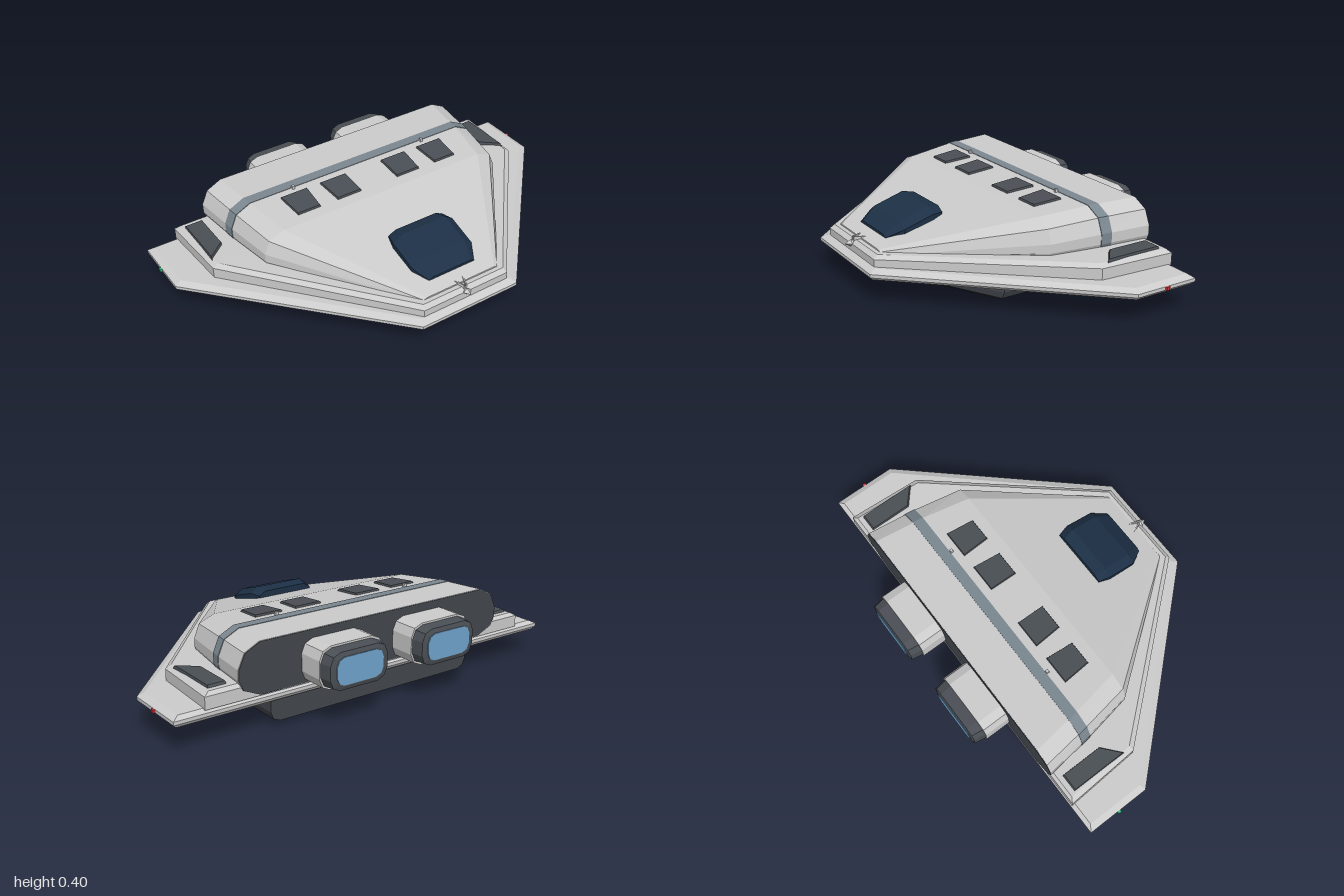
import * as THREE from 'three';

const GREY = 0xcccccc, DARK = 0x4a4f55, TUB = 0x42464c, NAVY = 0x1d3046, BLUE = 0x6fa3cb;

// Skin between rings of 3D points; the first ring runs counter-clockwise seen from outside.
function loft(rings) {
  const n = rings[0].length, index = [];
  for (let r = 0; r < rings.length - 1; r++) {
    for (let i = 0; i < n; i++) {
      const j = (i + 1) % n, a = r * n, b = a + n;
      index.push(a + i, b + i, b + j, a + i, b + j, a + j);
    }
  }
  const last = (rings.length - 1) * n;
  for (let i = 1; i < n - 1; i++) {
    index.push(0, i, i + 1, last, last + i + 1, last + i);
  }
  const geo = new THREE.BufferGeometry();
  geo.setAttribute('position', new THREE.Float32BufferAttribute(rings.flat(2), 3));
  geo.setIndex(index);
  const flat = geo.toNonIndexed();
  flat.computeVertexNormals();
  return flat;
}

const mirrored = half => [...half, ...half.map(([x, y, z]) => [-x, y, z]).reverse()];
// Upright section at z from right-hand [x, y] points, listed bottom to top
const section = (z, half) => mirrored(half.map(([x, y]) => [x, y, z]));
// Level outline at y from right-hand [x, z] points, listed front to back
const outline = (y, half) => mirrored(half.map(([x, z]) => [x, y, z]));
// Right half of a rectangle with cut corners
const rounded = (w, y0, y1, c) => [[w - c, y0], [w - c * 0.3, y0 + c * 0.3], [w, y0 + c],
  [w, y1 - c], [w - c * 0.3, y1 - c * 0.3], [w - c, y1]];

// Hull stations, front to back
const STATIONS = [
  [0.57, [[0.17, 0.165], [0.19, 0.18], [0.2, 0.19], [0.2, 0.2], [0.195, 0.215], [0.18, 0.222]]],
  [0, [[0.54, 0.165], [0.61, 0.19], [0.63, 0.235], [0.63, 0.275], [0.605, 0.335], [0.53, 0.365]]],
  [-0.23, [[0.575, 0.165], [0.65, 0.195], [0.67, 0.24], [0.67, 0.285], [0.642, 0.35], [0.57, 0.385]]],
  [-0.466, [[0.6, 0.165], [0.68, 0.2], [0.7, 0.245], [0.7, 0.29], [0.67, 0.355], [0.6, 0.39]]],
];

// Hull half-section at any z, grown outwards by g
function hullAt(z, g = 0) {
  let k = 0;
  while (k < STATIONS.length - 2 && z < STATIONS[k + 1][0]) k++;
  const [z0, a] = STATIONS[k], [z1, b] = STATIONS[k + 1], t = (z - z0) / (z1 - z0);
  return a.map(([x, y], i) => [x + (b[i][0] - x) * t + g, y + (b[i][1] - y) * t + (i > 2 ? g : 0)]);
}
const roofY = z => hullAt(z)[5][1];

export function createModel() {
  const model = new THREE.Group();
  const materials = {};
  const add = (name, geo, color = GREY, parent = model) => {
    materials[color] ??= new THREE.MeshStandardMaterial({ color, flatShading: true });
    const mesh = new THREE.Mesh(geo, materials[color]);
    mesh.name = name;
    parent.add(mesh);
    return mesh;
  };
  const box = (name, size, pos, color, parent) =>
    add(name, new THREE.BoxGeometry(...size), color, parent).position.set(...pos);

  // Wing plate with bevelled rim, and the raised deck on it
  const wing = [[0.25, 0.645], [0.99, -0.165], [0.99, -0.47]];
  const wingTop = [[0.235, 0.615], [0.96, -0.175], [0.96, -0.45]];
  add('wingPlate', loft([outline(0.165, wingTop), outline(0.15, wing),
    outline(0.135, wing), outline(0.12, [[0.242, 0.63], [0.975, -0.17], [0.975, -0.46]])]));
  const deck = (dy, w) => mirrored(w.map(([x, z, y]) => [x, y + dy, z]));
  const deckRim = [[0.22, 0.61, 0.198], [0.83, -0.11, 0.215], [0.85, -0.465, 0.215]];
  add('deck', loft([
    deck(0.017, [[0.212, 0.59, 0.198], [0.805, -0.115, 0.213], [0.825, -0.45, 0.213]]),
    deck(0, deckRim),
    outline(0.16, deckRim)]));

  // Hull, its dark rear bulkhead and the painted band
  add('hull', loft(STATIONS.map(([z, half]) => section(z, half))));
  add('rearBulkhead', loft([section(-0.46, hullAt(-0.466, -0.002)),
    section(-0.469, hullAt(-0.466, -0.002))]), TUB);
  add('hullBand', loft([section(-0.23, hullAt(-0.23, 0.002)),
    section(-0.28, hullAt(-0.28, 0.002))]), 0x7b8790);

  // Belly tub
  const belly = (z, w, y, c) => section(z, [[w - c, y], [w - c * 0.3, y + c * 0.3], [w, y + c], [w, 0.125]]);
  add('bellyTub', loft([belly(0.445, 0.25, 0.08, 0.025), belly(0.17, 0.54, 0.02, 0.045),
    belly(-0.45, 0.54, 0.02, 0.045)]), TUB);

  // Canopy
  add('canopy', loft([
    section(0.503, [[0.11, 0.22], [0.12, 0.24], [0.1, 0.25]]),
    section(0.43, [[0.16, 0.22], [0.16, 0.275], [0.12, 0.302]]),
    section(0.29, [[0.16, 0.25], [0.16, 0.318], [0.12, 0.345]]),
    section(0.235, [[0.145, 0.26], [0.145, 0.315], [0.11, 0.335]])]), NAVY);

  // Nose sensor with two small fins
  const sensor = add('noseSensor', new THREE.OctahedronGeometry(0.02));
  sensor.scale.set(1, 0.8, 1.4);
  sensor.position.set(0, 0.2, 0.612);

  for (const s of [1, -1]) {
    const side = new THREE.Group();
    side.name = s > 0 ? 'leftFittings' : 'rightFittings';
    model.add(side);

    // Thin panel from a [x, z] outline lying on a surface
    const panel = (name, pts, surface, h) => {
      const order = s > 0 ? pts : [...pts].reverse();
      const cx = pts.reduce((t, p) => t + p[0], 0) / 4, cz = pts.reduce((t, p) => t + p[1], 0) / 4;
      const ring = (dy, k) => order.map(([x, z]) => {
        const pz = cz + (z - cz) * k;
        return [s * (cx + (x - cx) * k), surface(pz) + dy, pz];
      });
      add(name, loft([ring(h, 0.92), ring(-0.01, 1)]), DARK, side);
    };
    // Roof windows
    panel('innerWindow', [[0.095, -0.05], [0.225, -0.05], [0.237, -0.192], [0.095, -0.192]], roofY, 0.009);
    panel('outerWindow', [[0.31, -0.05], [0.43, -0.05], [0.442, -0.192], [0.3, -0.192]], roofY, 0.009);
    // Deck vent
    panel('deckVent', [[0.728, -0.22], [0.815, -0.145], [0.815, -0.43], [0.728, -0.43]], () => 0.23, 0.011);

    // Engine housing, nozzle and glow
    const engine = new THREE.Group();
    engine.name = 'engine';
    engine.position.x = s * 0.24;
    side.add(engine);
    const housing = rounded(0.16, 0.165, 0.352, 0.055);
    add('engineHousing', loft([section(-0.4, housing), section(-0.59, housing)]), GREY, engine);
    add('engineNozzle', loft([
      section(-0.585, rounded(0.155, 0.172, 0.344, 0.055)),
      section(-0.643, rounded(0.145, 0.175, 0.338, 0.05)),
      section(-0.648, rounded(0.125, 0.192, 0.322, 0.04))]), DARK, engine);
    add('engineGlow', loft([section(-0.64, rounded(0.118, 0.197, 0.317, 0.038)),
      section(-0.651, rounded(0.118, 0.197, 0.317, 0.038))]), BLUE, engine);

    // Navigation lights
    box('wingtipLight', [0.016, 0.014, 0.016], [s * 0.992, 0.143, -0.315], s > 0 ? 0xe03030 : 0x30c080, side);
    box('roofLight', [0.013, 0.025, 0.013], [s * 0.355, 0.388, -0.223], GREY, side);
    box('bellyLight', [0.013, 0.025, 0.013], [s * 0.467, 0.0125, -0.095], GREY, side);

    const fin = add('noseFin', new THREE.BoxGeometry(0.006, 0.02, 0.05), GREY, side);
    fin.position.set(s * 0.014, 0.218, 0.575);
    fin.rotation.y = s * -0.35;
  }
  return model;
}
